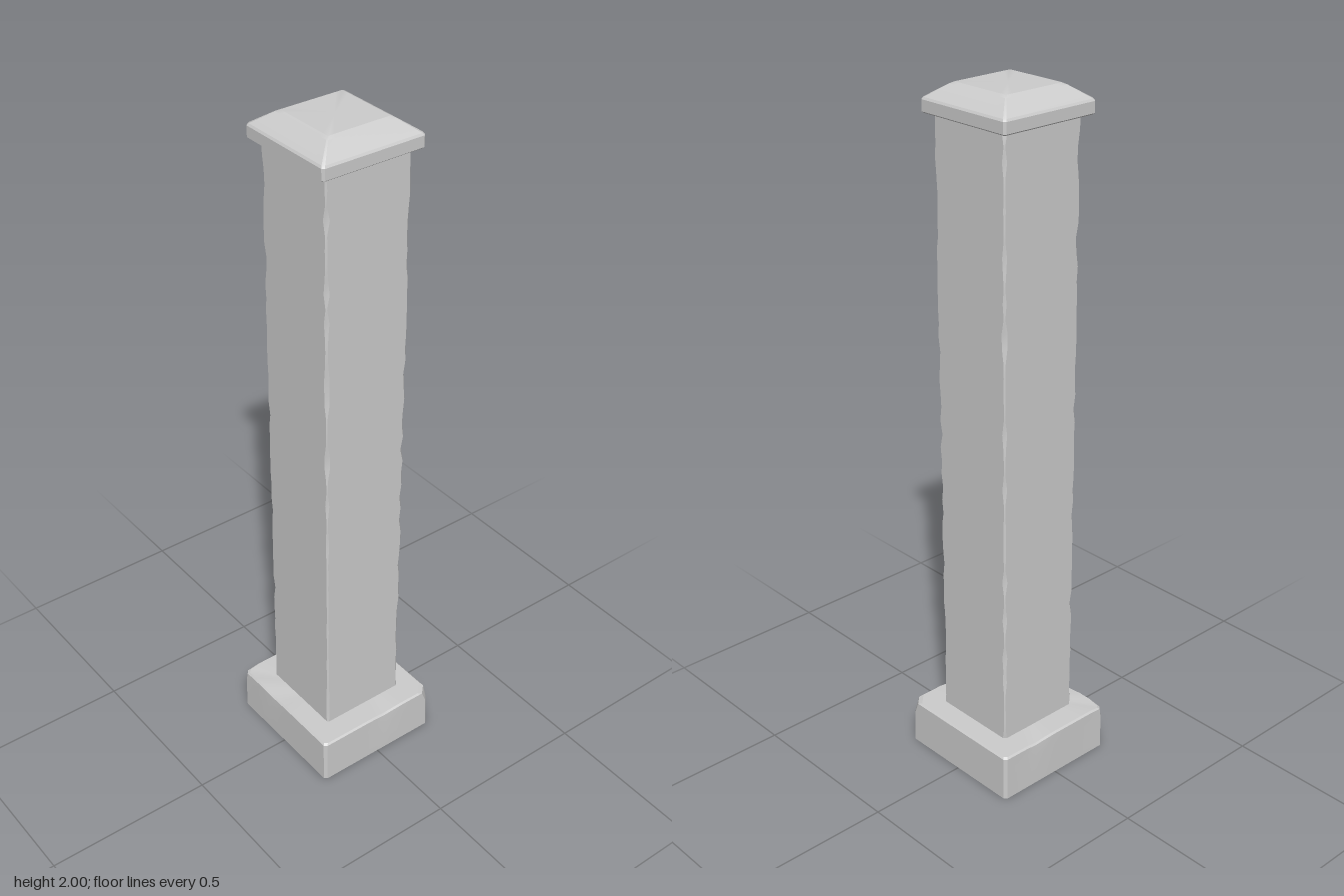
import * as THREE from 'three';
import { toCreasedNormals } from 'three/addons/utils/BufferGeometryUtils.js';

const material = new THREE.MeshStandardMaterial({ color: 0xcccccc, side: THREE.DoubleSide });
const CORNERS = [[1, 1], [1, -1], [-1, -1], [-1, 1]];
const SEGMENTS = 10;

// Small seeded generator for the worn edges
let seed = 7;
function random() {
  seed = (seed * 16807) % 2147483647;
  return seed / 2147483647;
}

// Square outline with a cut at each corner and subdivided sides
function squareRing({ y, hx, hz, cut, cz = 0 }) {
  const cuts = Array.isArray(cut) ? cut : [cut, cut, cut, cut];
  const ends = [];
  CORNERS.forEach(([sx, sz], k) => {
    const onZ = [sx * (hx - cuts[k]), sz * hz];
    const onX = [sx * hx, sz * (hz - cuts[k])];
    ends.push(...(k % 2 ? [onX, onZ] : [onZ, onX]));
  });
  const points = [];
  ends.forEach((a, i) => {
    const b = ends[(i + 1) % ends.length];
    const steps = i % 2 ? SEGMENTS : 1;
    for (let s = 0; s < steps; s++) {
      const t = s / steps;
      points.push(new THREE.Vector3(a[0] + (b[0] - a[0]) * t, y, a[1] + (b[1] - a[1]) * t + cz));
    }
  });
  return points;
}

// Skin a stack of rings, optionally closing the top
function loft(name, levels, { closeTop = false, deform, crease = 0.35 } = {}) {
  const rings = levels.map(squareRing);
  if (deform) rings.flat().forEach(deform);
  const n = rings[0].length;
  const index = [];
  for (let i = 0; i < rings.length - 1; i++) {
    for (let j = 0; j < n; j++) {
      const a = i * n + j, b = i * n + (j + 1) % n;
      index.push(a, b, b + n, a, b + n, a + n);
    }
  }
  const points = rings.flat();
  if (closeTop) {
    const last = levels[levels.length - 1];
    const start = (rings.length - 1) * n;
    points.push(new THREE.Vector3(0, last.y, last.cz || 0));
    for (let j = 0; j < n; j++) index.push(start + j, start + (j + 1) % n, points.length - 1);
  }
  const geometry = new THREE.BufferGeometry().setFromPoints(points);
  geometry.setIndex(index);
  const mesh = new THREE.Mesh(toCreasedNormals(geometry, crease), material);
  mesh.name = name;
  return mesh;
}

// Hollow plinth, open below, with a chipped corner and dented top edges
function makeBase() {
  const dents = [[0.03, 0.2, 0.05], [0.07, -0.2, 0.05], [-0.19, -0.05, 0.05], [-0.19, -0.19, 0.04]];
  const chip = (p) => {
    if (p.y < 0.13 || Math.max(Math.abs(p.x), Math.abs(p.z)) < 0.185) return;
    for (const [x, z, r] of dents) {
      const d = Math.hypot(p.x - x, p.z - z);
      if (d < r) {
        const pull = 1 - d / r;
        p.y -= 0.006 * pull;
        p.x *= 1 - 0.012 * pull;
        p.z *= 1 - 0.012 * pull;
      }
    }
  };
  return loft('base', [
    { y: 0, hx: 0.197, hz: 0.205, cut: 0.008 },
    { y: 0.1, hx: 0.197, hz: 0.205, cut: [0.012, 0.008, 0.008, 0.008] },
    { y: 0.135, hx: 0.197, hz: 0.205, cut: [0.026, 0.008, 0.01, 0.008] },
    { y: 0.14, hx: 0.192, hz: 0.2, cut: [0.034, 0.008, 0.01, 0.008] },
    { y: 0.14, hx: 0.128, hz: 0.128, cut: 0.006 },
  ], { deform: chip });
}

// Tall hollow shaft whose four edges are irregularly worn
function makeShaft() {
  const levels = [];
  const rows = 44;
  for (let i = 0; i <= rows; i++) {
    const cut = CORNERS.map(() => 0.003 + 0.009 * random() ** 3);
    levels.push({ y: 0.125 + (1.8 * i) / rows, hx: 0.132, hz: 0.132, cut });
  }
  return loft('shaft', levels);
}

// Overhanging cap with a truncated pyramid top
function makeCap() {
  const profile = [
    [1.92, 0.128, 0.004], [1.92, 0.152, 0.005], [1.924, 0.157, 0.006], [1.955, 0.157, 0.006],
    [1.961, 0.153, 0.006], [1.995, 0.105, 0.003], [2, 0.095, 0.003],
  ];
  const levels = profile.map(([y, h, cut]) => ({ y, hx: h, hz: h, cut, cz: -0.003 }));
  return loft('cap', levels, { closeTop: true });
}

export function createModel() {
  const post = new THREE.Group();
  post.name = 'stonePost';
  post.add(makeBase(), makeShaft(), makeCap());
  return post;
}
